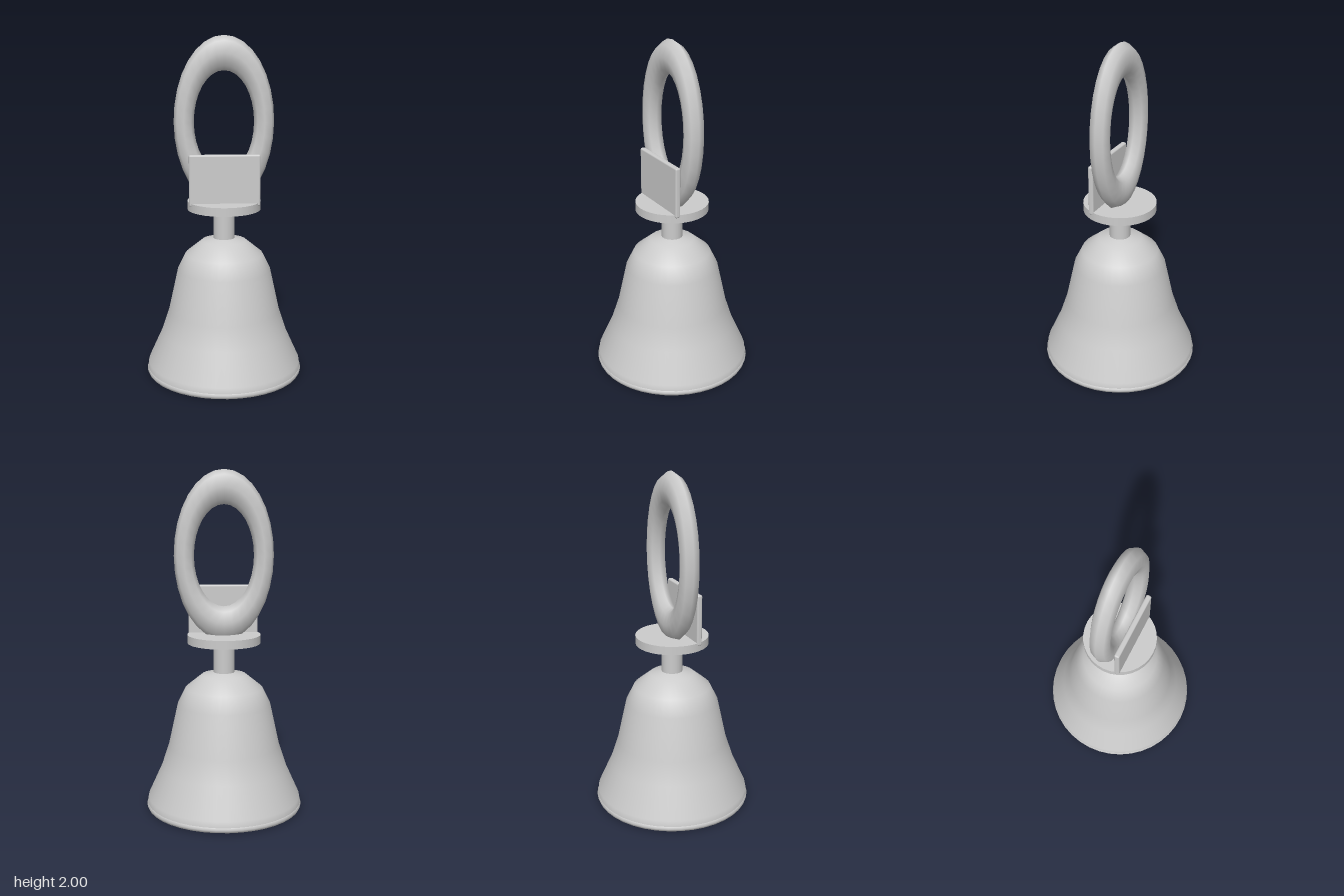
import * as THREE from 'three';
import { RoundedBoxGeometry } from 'three/addons/geometries/RoundedBoxGeometry.js';

export function createModel() {
  const group = new THREE.Group();
  const material = new THREE.MeshStandardMaterial({ color: 0xcccccc });

  const add = (name, geometry, x = 0, y = 0, z = 0) => {
    const mesh = new THREE.Mesh(geometry, material);
    mesh.name = name;
    mesh.position.set(x, y, z);
    group.add(mesh);
    return mesh;
  };
  const lathe = (points) => new THREE.LatheGeometry(points.map(([r, y]) => new THREE.Vector2(r, y)), 40);

  // Bell wall: outer skin from the mouth up, inner skin back down
  const outer = [[0.46, 0.03], [0.455, 0.07], [0.376, 0.245], [0.33, 0.385], [0.275, 0.635], [0.228, 0.73], [0.13, 0.81], [0, 0.838]];
  const inner = [[0, 0.81], [0.12, 0.785], [0.208, 0.715], [0.252, 0.625], [0.307, 0.38], [0.353, 0.235], [0.43, 0.06], [0.435, 0.02]];
  add('bellOuter', lathe(outer));
  add('bellInner', lathe(inner));

  // Rounded lip around the mouth
  const lip = add('bellLip', new THREE.TorusGeometry(0.443, 0.022, 8, 40), 0, 0.022);
  lip.rotation.x = Math.PI / 2;

  // Clapper hanging inside
  add('clapperRod', new THREE.CylinderGeometry(0.015, 0.015, 0.55, 12), 0, 0.545);
  add('clapperBall', new THREE.SphereGeometry(0.075, 24, 16), 0, 0.23);

  // Stem and collar plate above the bell
  add('stem', new THREE.CylinderGeometry(0.062, 0.062, 0.21, 24), 0, 0.915);
  add('collar', new THREE.CylinderGeometry(0.215, 0.215, 0.05, 32), 0, 1.025);

  // Tall oval handle ring
  const ring = add('handleRing', new THREE.TorusGeometry(0.231, 0.058, 8, 32), 0, 1.509);
  ring.scale.y = 1.7;

  // Upright tag in front of the ring
  add('tag', new RoundedBoxGeometry(0.41, 0.3, 0.032, 2, 0.01), 0, 1.182, 0.08);

  return group;
}
